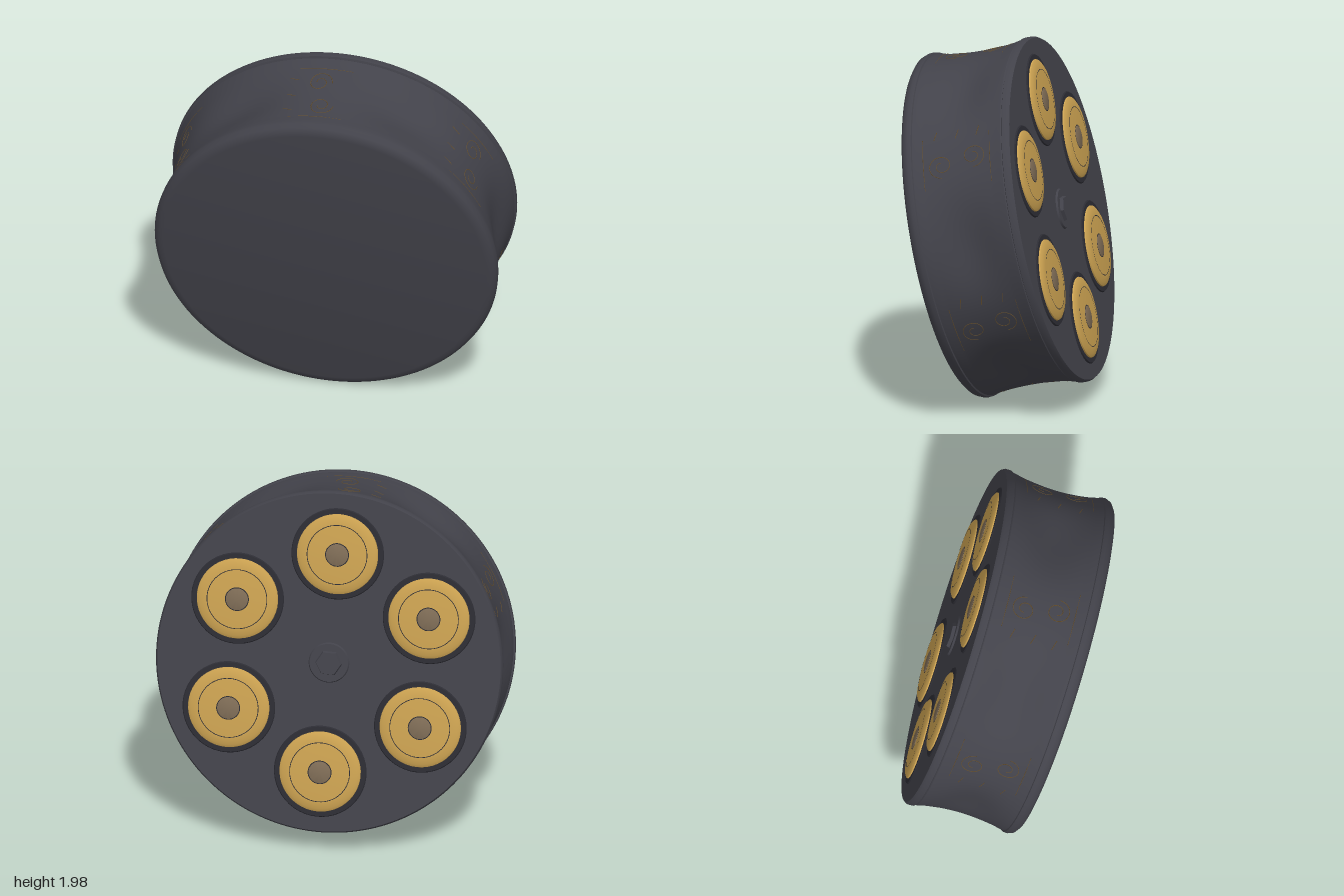
import * as THREE from 'three';
import { toCreasedNormals } from 'three/addons/utils/BufferGeometryUtils.js';

const material = (name, color) => {
  const m = new THREE.MeshStandardMaterial({ color });
  m.name = name;
  return m;
};

export function createModel() {
  const steel = material('dark steel', 0x42424a);
  const groove = material('groove black', 0x2c2c33);
  const brass = material('brass', 0xc9a050);
  const primerMetal = material('dull primer', 0x7d6b55);
  const inlay = material('bronze inlay', 0x66502f);

  const FACE = 0.31; // height of the rear face along the drum axis

  const lathe = (points, segments) => toCreasedNormals(
    new THREE.LatheGeometry(points.map(([r, y]) => new THREE.Vector2(r, y)), segments), 0.6);
  const add = (parent, name, geometry, mat) => {
    const mesh = new THREE.Mesh(geometry, mat);
    mesh.name = name;
    parent.add(mesh);
    return mesh;
  };

  // Six shallow flutes in the drum wall, between the chambers
  const fluteDepth = (angle, y) => {
    if (Math.abs(y) > 0.24) return 0;
    const around = ((1 - Math.cos(6 * angle)) / 2) ** 1.5;
    return 0.04 * around * Math.cos((y / 0.24) * Math.PI / 2) ** 2;
  };
  const wallRadius = (angle, y) => 0.922 + 0.012 * (y / 0.2) ** 2 - fluteDepth(angle, y);

  // Drum local frame: +y points out of the rear face
  const drum = new THREE.Group();
  drum.name = 'drum';

  // Drum body with rounded front edge, rims and fluted wall
  const profile = [[0, -0.318], [0.895, -0.318], [0.922, -0.313], [0.942, -0.298], [0.952, -0.272],
    [0.95, -0.252], [0.942, -0.248], [0.94, -0.225]];
  for (let i = 0; i <= 20; i++) {
    const y = -0.2 + 0.02 * i;
    profile.push([wallRadius(0, y), y]);
  }
  profile.push([0.942, 0.235], [0.946, 0.258], [0.942, 0.263], [0.953, 0.268],
    [0.953, 0.296], [0.944, FACE], [0, FACE]);
  const body = new THREE.LatheGeometry(profile.map(([r, y]) => new THREE.Vector2(r, y)), 144);
  const pos = body.attributes.position;
  for (let i = 0; i < pos.count; i++) {
    const x = pos.getX(i), y = pos.getY(i), z = pos.getZ(i);
    const r = Math.hypot(x, z);
    if (r < 0.85) continue;
    const k = (r - fluteDepth(Math.atan2(z, x), y)) / r;
    pos.setXYZ(i, x * k, y, z * k);
  }
  add(drum, 'drumBody', toCreasedNormals(body, 0.6), steel);

  // Cartridge heads set in the rear face
  const collarGeo = lathe([[0.255, 0], [0.25, 0.007], [0.222, 0.007]], 48);
  const headGeo = lathe([[0.226, 0], [0.222, 0.014], [0.205, 0.024], [0.165, 0.028], [0, 0.028]], 48);
  const ringGeo = new THREE.RingGeometry(0.163, 0.167, 48).rotateX(-Math.PI / 2);
  const primerGeo = lathe([[0.061, 0.024], [0.061, 0.031], [0.056, 0.033], [0, 0.033]], 32);
  const primerRingGeo = new THREE.RingGeometry(0.059, 0.066, 32).rotateX(-Math.PI / 2);
  for (let i = 0; i < 6; i++) {
    const a = i * Math.PI / 3;
    const cartridge = new THREE.Group();
    cartridge.name = 'cartridge';
    cartridge.position.set(0.61 * Math.cos(a), FACE, 0.61 * Math.sin(a));
    add(cartridge, 'chamberCollar', collarGeo, groove);
    add(cartridge, 'cartridgeHead', headGeo, brass);
    add(cartridge, 'headGroove', ringGeo, groove).position.y = 0.0295;
    add(cartridge, 'primerGroove', primerRingGeo, groove).position.y = 0.0295;
    add(cartridge, 'primer', primerGeo, primerMetal);
    drum.add(cartridge);
  }

  // Central hex bolt on a washer
  const bolt = new THREE.Group();
  bolt.name = 'centreBolt';
  bolt.position.y = FACE;
  add(bolt, 'washer', lathe([[0.112, 0], [0.106, 0.01], [0, 0.01]], 40), steel);
  const hex = new THREE.CylinderGeometry(0.068, 0.076, 0.024, 6);
  add(bolt, 'hexHead', toCreasedNormals(hex, 0.3), steel).position.y = 0.016;
  drum.add(bolt);

  // Fine inlaid scrolls and strokes on the wall, in line with each chamber
  const inlayLine = (name, points, radius) => {
    const curve = new THREE.CatmullRomCurve3(points.map(([angle, y]) => {
      const r = wallRadius(angle, y);
      return new THREE.Vector3(r * Math.cos(angle), y, r * Math.sin(angle));
    }));
    add(drum, name, new THREE.TubeGeometry(curve, points.length * 2, radius, 4), inlay);
  };
  for (let i = 0; i < 6; i++) {
    const a = i * Math.PI / 3;
    for (const side of [-1, 1]) {
      const scroll = [];
      for (let k = 0; k <= 18; k++) {
        const t = k / 18;
        const turn = t * Math.PI * 3;
        const r = 0.02 + 0.055 * t;
        scroll.push([a + side * 0.02 + r * Math.cos(turn), side * 0.09 + side * r * Math.sin(turn)]);
      }
      inlayLine('scroll', scroll, 0.0022);
      inlayLine('borderLine', [-0.16, -0.05, 0.05, 0.16].map((d) => [a + d, side * 0.19]), 0.0018);
    }
    for (const y of [-0.12, 0, 0.12]) {
      inlayLine('stroke', [[a + 0.15, y - 0.008], [a + 0.18, y], [a + 0.21, y + 0.008]], 0.0022);
    }
  }

  // Tilt the drum so the rear face looks back, left and slightly up
  const axis = new THREE.Vector3(0.33, 0.21, -0.92).normalize();
  const up = new THREE.Vector3(-0.1, 0.98, 0.13);
  up.addScaledVector(axis, -up.dot(axis)).normalize();
  const third = new THREE.Vector3().crossVectors(up, axis);
  drum.quaternion.setFromRotationMatrix(new THREE.Matrix4().makeBasis(up, axis, third));
  drum.position.y = 1;

  const model = new THREE.Group();
  model.name = 'cartridgeDrum';
  model.add(drum);
  return model;
}
